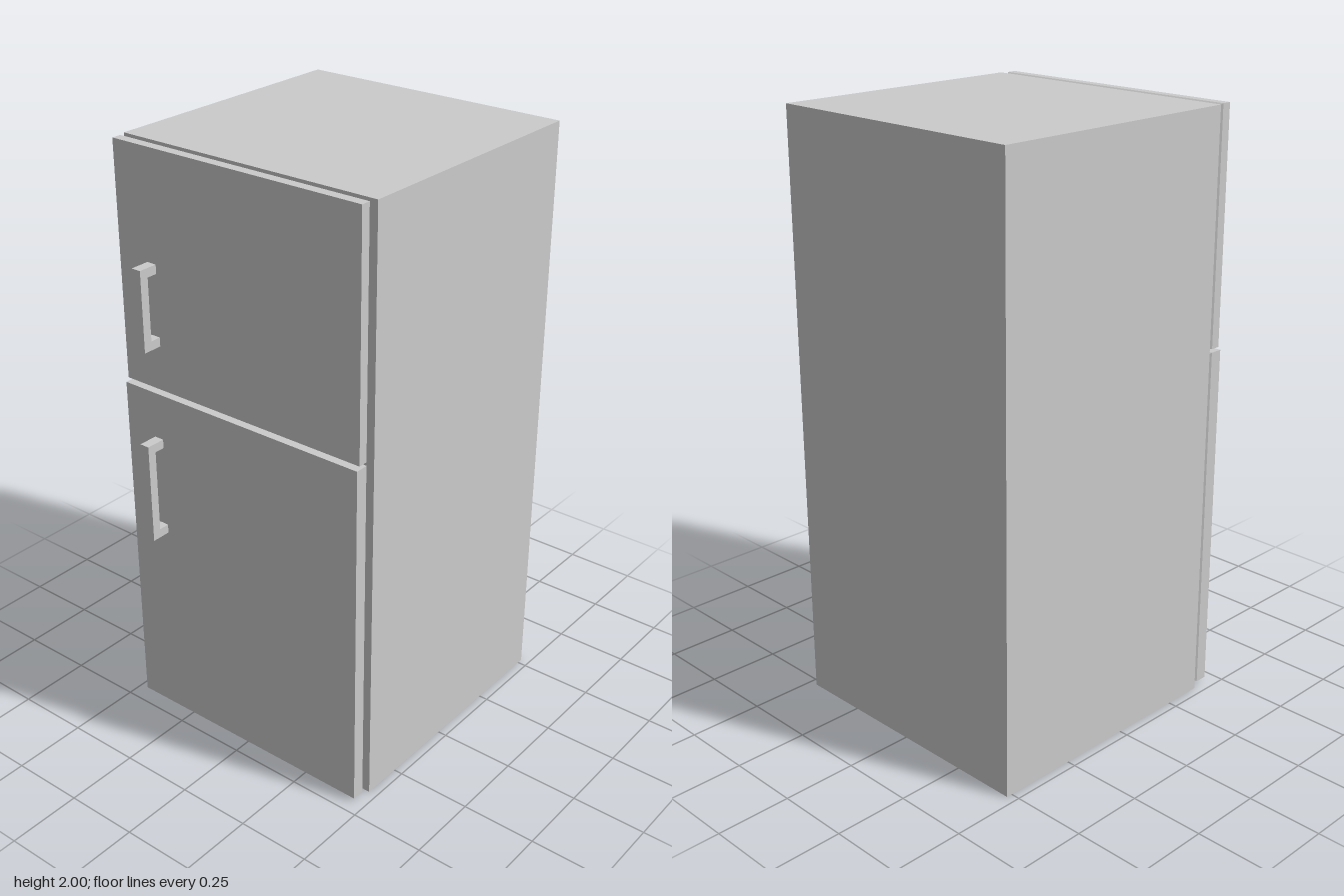
import * as THREE from 'three';

const material = new THREE.MeshStandardMaterial({ color: 0xcccccc, flatShading: true });

function add(group, name, geometry, x, y, z) {
  const mesh = new THREE.Mesh(geometry, material);
  mesh.name = name;
  mesh.position.set(x, y, z);
  group.add(mesh);
  return mesh;
}

// Slab whose rear rim tapers inwards towards the cabinet
function doorGeometry(width, height, depth, rim, insetX, insetY) {
  const geometry = new THREE.BoxGeometry(width, height, depth, 1, 1, 2);
  const p = geometry.attributes.position;
  for (let i = 0; i < p.count; i++) {
    const z = p.getZ(i);
    if (Math.abs(z) < 1e-6) p.setZ(i, -depth / 2 + rim);
    else if (z < 0) {
      p.setX(i, p.getX(i) - Math.sign(p.getX(i)) * insetX);
      p.setY(i, p.getY(i) - Math.sign(p.getY(i)) * insetY);
    }
  }
  const flat = geometry.toNonIndexed();
  flat.computeVertexNormals();
  return flat;
}

// Square bracket profile (reach, height) extruded to the handle's width
function handleGeometry(height, reach, bar, foot, width) {
  const shape = new THREE.Shape([
    [0, 0], [reach, 0], [reach, height], [0, height],
    [0, height - foot], [reach - bar, height - foot], [reach - bar, foot], [0, foot],
  ].map(([a, b]) => new THREE.Vector2(a, b)));
  const geometry = new THREE.ExtrudeGeometry(shape, { depth: width, bevelEnabled: false });
  geometry.rotateY(-Math.PI / 2); // reach now runs along +z
  return geometry;
}

export function createModel() {
  const model = new THREE.Group();
  model.name = 'refrigerator';
  const back = -0.52, front = 0.386;

  const sections = [
    { name: 'fridge', y0: 0, y1: 1.21, door: [0.013, 1.21], face: 0.453, handle: [0.71, 1.053] },
    { name: 'freezer', y0: 1.21, y1: 2, door: [1.222, 2], face: 0.442, handle: [1.372, 1.64] },
  ];

  for (const s of sections) {
    const section = new THREE.Group();
    section.name = s.name;
    model.add(section);

    // Cabinet
    add(section, s.name + 'Cabinet', new THREE.BoxGeometry(0.94, s.y1 - s.y0, front - back),
      0, (s.y0 + s.y1) / 2, (front + back) / 2);

    // Door
    const [d0, d1] = s.door;
    const depth = s.face - front;
    add(section, s.name + 'Door', doorGeometry(0.921, d1 - d0, depth, 0.024, 0.018, 0.016),
      0, (d0 + d1) / 2, front + depth / 2);

    // Handle
    const [h0, h1] = s.handle;
    add(section, s.name + 'Handle', handleGeometry(h1 - h0, 0.066, 0.03, 0.03, 0.034),
      -0.311, h0, s.face);
  }
  return model;
}
